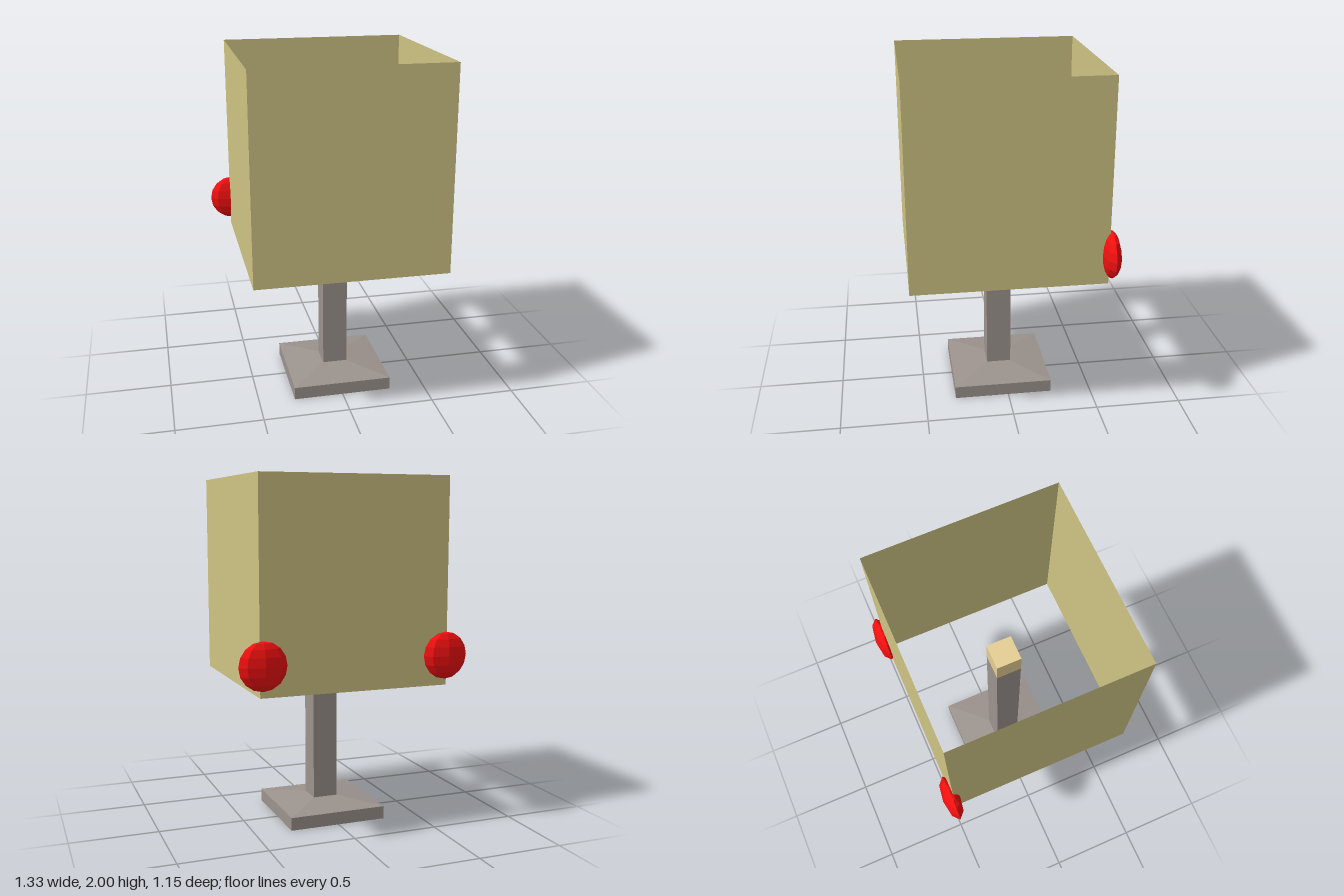
import * as THREE from 'three';

const CENTRE_Z = 0.03;

function material(color, side = THREE.FrontSide) {
  return new THREE.MeshStandardMaterial({ color, side, flatShading: true });
}

// Four-sided prism or frustum from y0 to y1, given half widths
function squareTube(name, halfTop, halfBottom, y0, y1, mat, open = false) {
  const geo = new THREE.CylinderGeometry(
    halfTop * Math.SQRT2, halfBottom * Math.SQRT2, y1 - y0, 4, 1, open);
  geo.rotateY(Math.PI / 4);
  const mesh = new THREE.Mesh(geo, mat);
  mesh.name = name;
  mesh.position.set(0, (y0 + y1) / 2, CENTRE_Z);
  return mesh;
}

export function createModel() {
  const lamp = new THREE.Group();
  lamp.name = 'tableLamp';

  const stone = material(0x9c938e);
  const fabric = material(0xcfc484, THREE.DoubleSide);
  const glow = material(0xe6cf94);
  const red = material(0xf51010);

  // Foot: square slab with a shallow sloping top
  lamp.add(squareTube('baseSlab', 0.29, 0.29, 0, 0.075, stone));
  lamp.add(squareTube('baseSlope', 0.073, 0.29, 0.075, 0.105, stone));

  // Post with the square bulb on its end, inside the shade
  lamp.add(squareTube('post', 0.073, 0.073, 0.105, 1.3, stone));
  lamp.add(squareTube('bulb', 0.073, 0.073, 1.3, 1.45, glow));

  // Thin shade, open above and below
  lamp.add(squareTube('shade', 0.546, 0.546, 0.84, 2, fabric, true));

  // Flattened red discs on the two rear corners
  for (const side of [-1, 1]) {
    const disc = new THREE.Mesh(new THREE.SphereGeometry(0.133, 8, 8), red);
    disc.name = side > 0 ? 'leftDisc' : 'rightDisc';
    disc.scale.z = 0.38;
    disc.position.set(side * 0.532, 1.01, -0.527);
    lamp.add(disc);
  }

  return lamp;
}
